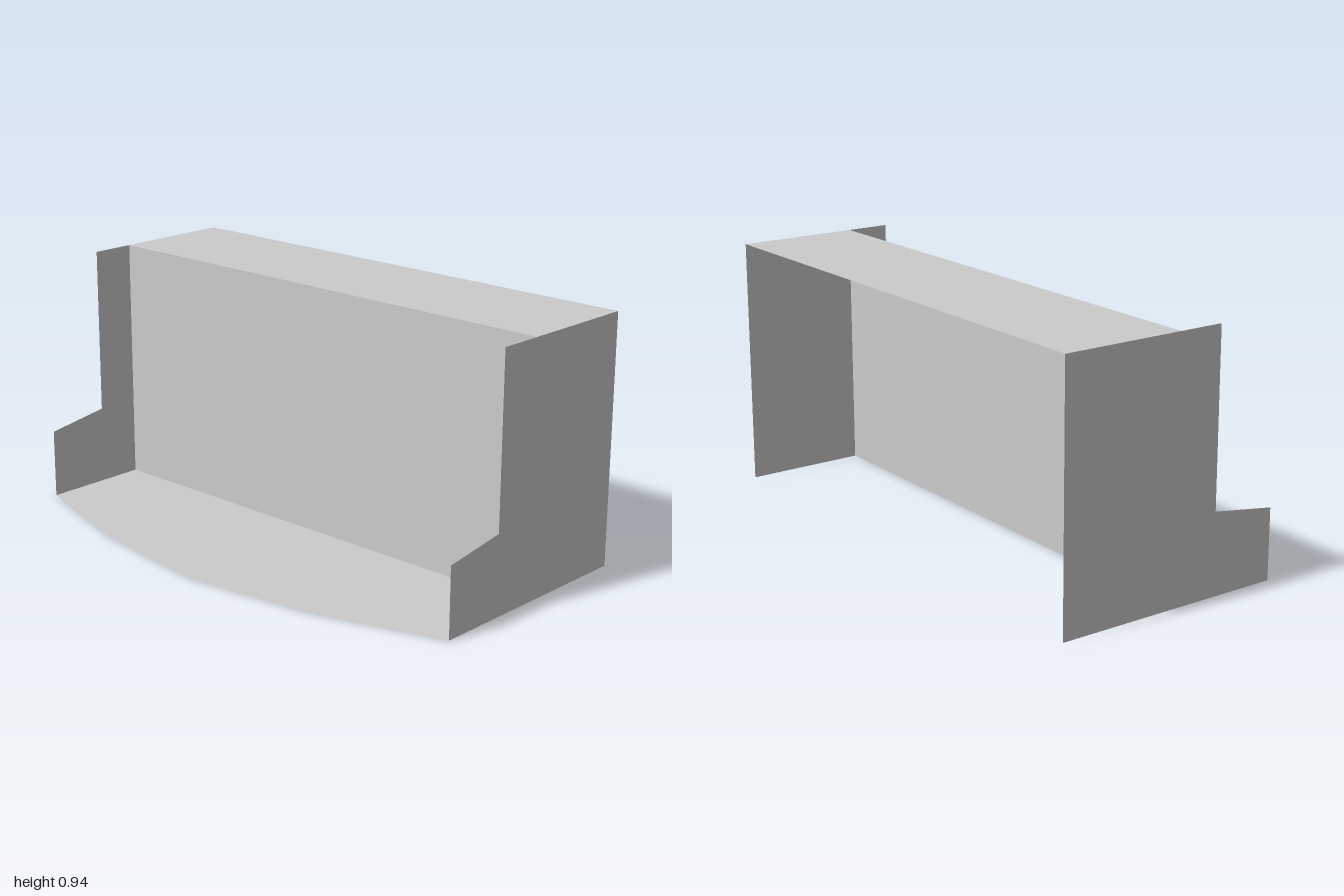
import * as THREE from 'three';

const BACK = -0.555, PANEL = -0.09, HEIGHT = 0.945;

export function createModel() {
  const group = new THREE.Group();
  const material = new THREE.MeshStandardMaterial({
    color: 0xcccccc, side: THREE.DoubleSide, flatShading: true,
  });
  const add = (name, geometry) => {
    const mesh = new THREE.Mesh(geometry, material);
    mesh.name = name;
    group.add(mesh);
    return mesh;
  };
  const flat = (points) =>
    new THREE.ShapeGeometry(new THREE.Shape(points.map(([a, b]) => new THREE.Vector2(a, b))));

  // Stepped side walls, outlined as (z, y)
  const profile = [[BACK, 0], [0.33, 0], [0.33, 0.265], [0.08, 0.303], [0.08, HEIGHT], [BACK, HEIGHT]];
  for (const [name, x] of [['leftSide', 1], ['rightSide', -1]]) {
    const side = flat(profile.map(([z, y]) => [-z, y])).rotateY(Math.PI / 2);
    add(name, side).position.x = x;
  }

  // Floor with a faceted bowed front edge, outlined as (x, z)
  const floor = [[-1, PANEL], [-1, 0.33], [-0.5, 0.483], [0, 0.55], [0.5, 0.483], [1, 0.33], [1, PANEL]];
  add('floor', flat(floor.map(([x, z]) => [x, -z])).rotateX(-Math.PI / 2));

  // Upright panel between the sides
  add('uprightPanel', new THREE.PlaneGeometry(2, HEIGHT)).position.set(0, HEIGHT / 2, PANEL);

  // Top running from the panel to the back
  const top = new THREE.PlaneGeometry(2, PANEL - BACK).rotateX(-Math.PI / 2);
  add('top', top).position.set(0, HEIGHT, (PANEL + BACK) / 2);

  return group;
}
